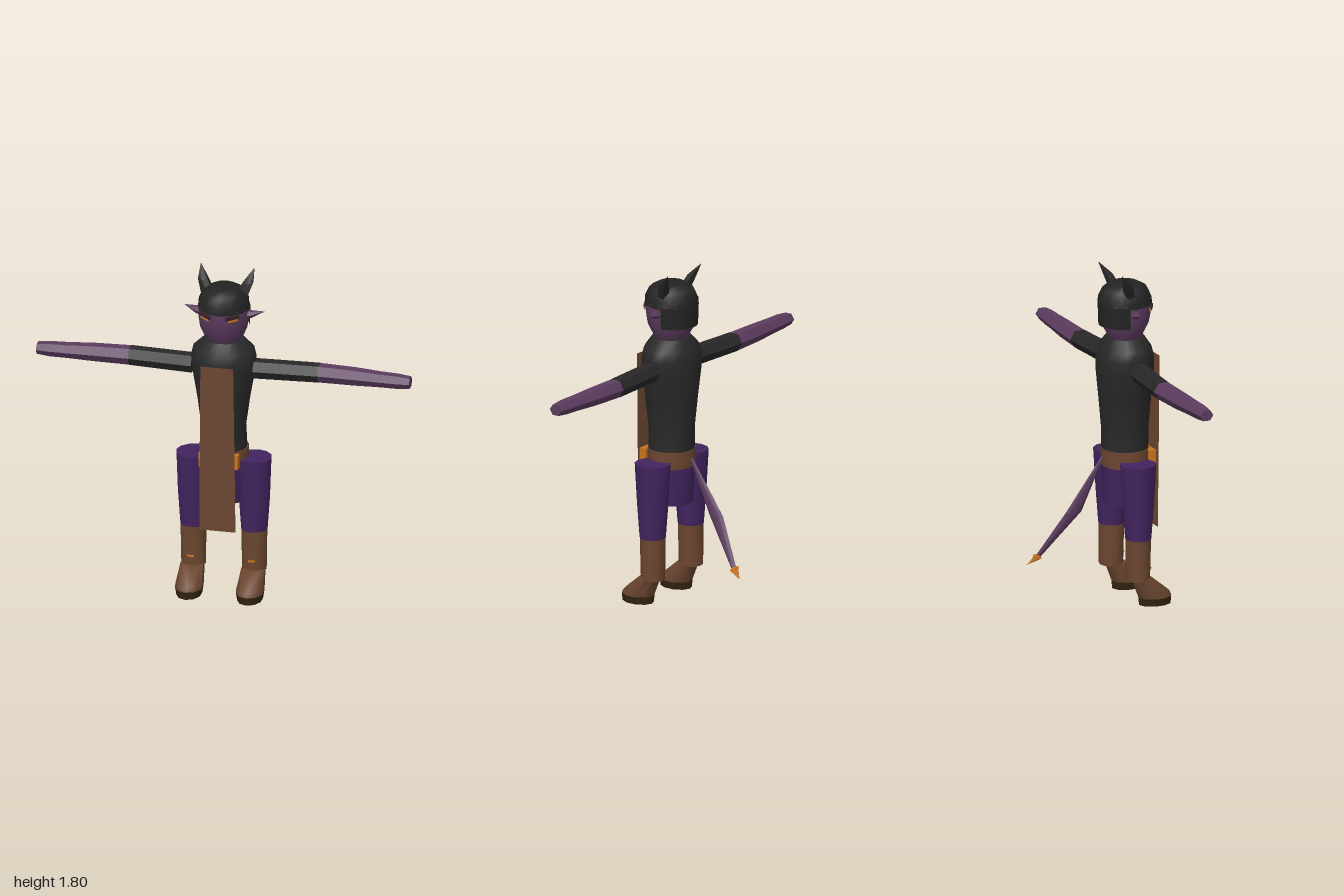
import * as THREE from 'three';
import { toCreasedNormals } from 'three/addons/utils/BufferGeometryUtils.js';

const mat = (name, color) => Object.assign(new THREE.MeshStandardMaterial({ color }), { name });
const M = {
  cloth: mat('black cloth', 0x282828),
  hair: mat('black hair', 0x232323),
  skin: mat('purple skin', 0x5c3c5f),
  trousers: mat('violet trousers', 0x41245f),
  leather: mat('brown leather', 0x6b4630),
  sole: mat('dark sole', 0x33230f),
  brow: mat('dark brow', 0x38222a),
  gold: mat('orange metal', 0xc8751f),
};
for (const m of [M.leather, M.hair]) m.side = THREE.DoubleSide;

// Closed body through elliptical rings [y, centreX, centreZ, radiusX, radiusZ], bottom to top
function loft(rings, sides = 12, turn = 0, crease = 0.75) {
  const pos = [], index = [];
  for (const [y, cx, cz, rx, rz] of rings) {
    for (let j = 0; j < sides; j++) {
      const a = turn + (j / sides) * Math.PI * 2;
      pos.push(cx + Math.sin(a) * rx, y, cz + Math.cos(a) * rz);
    }
  }
  for (let i = 0; i < rings.length - 1; i++) {
    for (let j = 0; j < sides; j++) {
      const k = (j + 1) % sides, a = i * sides, b = a + sides;
      index.push(a + j, a + k, b + k, a + j, b + k, b + j);
    }
  }
  const top = (rings.length - 1) * sides;
  for (let j = 1; j < sides - 1; j++) {
    index.push(0, j + 1, j, top, top + j, top + j + 1);
  }
  const g = new THREE.BufferGeometry();
  g.setAttribute('position', new THREE.Float32BufferAttribute(pos, 3));
  g.setIndex(index);
  return toCreasedNormals(g, crease);
}

export function createModel() {
  const model = new THREE.Group();
  model.name = 'hornedFigure';
  const add = (parent, name, geometry, material) => {
    const mesh = new THREE.Mesh(geometry, material);
    mesh.name = name;
    parent.add(mesh);
    return mesh;
  };
  const Z = 0.165;

  // Torso, belt and hips
  add(model, 'torso', loft([
    [0.81, 0, Z, 0.125, 0.122], [0.93, 0, Z, 0.117, 0.125], [1.1, 0, Z, 0.14, 0.138],
    [1.25, 0, Z, 0.166, 0.15], [1.32, 0, Z, 0.175, 0.147], [1.375, 0, Z, 0.163, 0.135],
    [1.43, 0, Z, 0.105, 0.1],
  ], 16), M.cloth);
  add(model, 'belt', loft([[0.73, 0, Z, 0.134, 0.124], [0.822, 0, Z, 0.132, 0.125]], 16), M.leather);
  add(model, 'hips', loft([[0.525, 0, Z, 0.11, 0.112], [0.735, 0, Z, 0.128, 0.122]], 12), M.trousers);

  // Belt buckle, an open frame
  const frame = new THREE.Shape();
  frame.moveTo(-0.105, 0.738).lineTo(0.105, 0.738).lineTo(0.105, 0.815).lineTo(-0.105, 0.815);
  const hole = new THREE.Path();
  hole.moveTo(-0.085, 0.755).lineTo(-0.085, 0.798).lineTo(0.085, 0.798).lineTo(0.085, 0.755);
  frame.holes.push(hole);
  add(model, 'buckle', new THREE.ExtrudeGeometry(frame, { depth: 0.04, bevelEnabled: false }), M.gold)
    .position.z = 0.255;

  // Hanging front cloth, widening and leaning in toward the bottom
  const tabard = new THREE.PlaneGeometry(0.18, 0.93);
  const p = tabard.attributes.position;
  for (let i = 0; i < p.count; i++) {
    const low = p.getY(i) < 0;
    p.setX(i, Math.sign(p.getX(i)) * (low ? 0.097 : 0.088));
    p.setZ(i, low ? 0.31 : 0.325);
  }
  tabard.computeVertexNormals();
  add(model, 'frontCloth', tabard, M.leather).position.y = 0.855;

  // Head and hair
  add(model, 'head', loft([
    [1.41, 0, Z, 0.08, 0.075], [1.44, 0, Z, 0.1, 0.093], [1.5, 0, Z, 0.126, 0.125],
    [1.56, 0, Z, 0.134, 0.137], [1.62, 0, Z, 0.134, 0.138],
  ], 16), M.skin);
  add(model, 'hairCap', loft([
    [1.605, 0, Z, 0.138, 0.144], [1.645, 0, Z, 0.134, 0.142],
    [1.692, 0, Z, 0.112, 0.12], [1.72, 0, Z, 0.07, 0.072],
  ], 12), M.hair);
  const nape = add(model, 'backHair',
    new THREE.CylinderGeometry(0.144, 0.14, 0.115, 10, 1, true, Math.PI / 2 + 0.21, Math.PI - 0.42), M.hair);
  nape.scale.x = 0.96;
  nape.position.set(0, 1.555, Z);

  // Everything that comes in pairs
  for (const side of [1, -1]) {
    const half = new THREE.Group();
    half.name = side > 0 ? 'leftSide' : 'rightSide';
    half.scale.x = side;
    model.add(half);

    // Arm, lofted upward and laid out sideways
    const arm = new THREE.Group();
    arm.name = 'arm';
    arm.rotation.z = -Math.PI / 2;
    arm.position.y = 1.27;
    half.add(arm);
    add(arm, 'sleeve', loft([
      [0.165, 0, 0.167, 0.054, 0.055], [0.507, 0, 0.146, 0.052, 0.055],
    ], 6), M.cloth);
    add(arm, 'forearmAndHand', loft([
      [0.507, 0, 0.146, 0.051, 0.054], [0.7, 0, 0.151, 0.048, 0.051], [0.84, 0, 0.158, 0.041, 0.047],
      [0.93, 0, 0.162, 0.04, 0.043], [1, 0, 0.163, 0.032, 0.037],
    ], 6), M.skin);

    // Pointed ear
    const ear = add(half, 'ear', loft([
      [0.115, 0.005, Z, 0.026, 0.03], [0.15, 0, Z, 0.02, 0.022], [0.216, -0.015, Z - 0.015, 0, 0],
    ], 6), M.skin);
    ear.rotation.z = -Math.PI / 2;
    ear.position.y = 1.574;

    // Horn, curving outward and back
    add(half, 'horn', loft([
      [1.65, 0.08, 0.155, 0.042, 0.036], [1.735, 0.12, 0.125, 0.03, 0.026], [1.803, 0.144, 0.08, 0, 0],
    ], 6), M.hair);

    // Eye and brow plates
    for (const [name, y, w, h, m] of [['eye', 1.578, 0.055, 0.016, M.gold], ['brow', 1.592, 0.075, 0.018, M.brow]]) {
      const plate = add(half, name, new THREE.BoxGeometry(w, h, 0.009), m);
      plate.position.set(0.074, y, name === 'eye' ? 0.281 : 0.284);
      plate.rotation.set(0, 0.55, 0.12);
    }

    // Leg and boot
    add(half, 'thigh', loft([
      [0.365, 0.163, Z, 0.071, 0.068], [0.55, 0.163, Z, 0.084, 0.082], [0.77, 0.163, Z, 0.092, 0.096],
    ], 12), M.trousers);
    add(half, 'bootShaft', loft([
      [0.14, 0.163, 0.163, 0.066, 0.063], [0.368, 0.163, Z, 0.07, 0.067],
    ], 12), M.leather);
    add(half, 'foot', loft([
      [0.04, 0.163, 0.26, 0.073, 0.092], [0.06, 0.163, 0.252, 0.073, 0.092], [0.148, 0.163, 0.183, 0.064, 0.056],
    ], 10), M.leather);
    add(half, 'sole', loft([
      [0, 0.163, 0.26, 0.066, 0.09], [0.041, 0.163, 0.26, 0.073, 0.093],
    ], 10), M.sole);
    add(half, 'bootClasp', new THREE.BoxGeometry(0.036, 0.008, 0.009), M.gold)
      .position.set(0.163, 0.2, 0.228);
  }

  // Flattened tail with a pointed metal tip
  add(model, 'tail', loft([
    [0.262, 0.075, -0.3, 0.01, 0.018], [0.5, 0.003, -0.13, 0.012, 0.046], [0.78, 0, 0.035, 0.008, 0.008],
  ], 6), M.skin);
  add(model, 'tailTip', loft([
    [0.217, 0.097, -0.355, 0, 0], [0.252, 0.077, -0.305, 0.022, 0.026], [0.272, 0.073, -0.312, 0.016, 0.018],
  ], 6), M.gold);

  return model;
}
